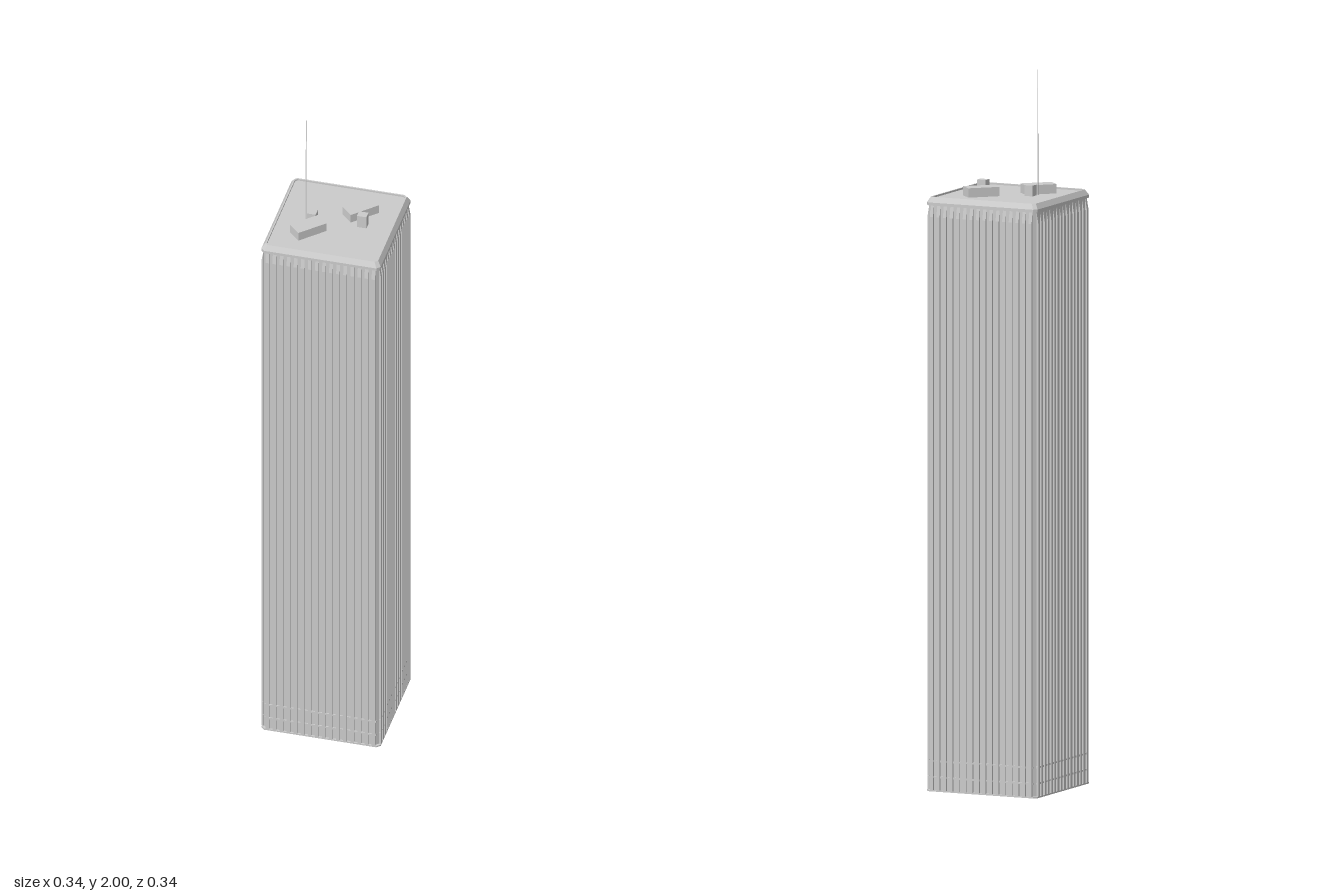
import * as THREE from 'three';

const grey = new THREE.MeshStandardMaterial({ color: 0xcccccc, flatShading: true });

function add(parent, name, geometry, x = 0, y = 0, z = 0, turn = 0) {
  const mesh = new THREE.Mesh(geometry, grey);
  mesh.name = name;
  mesh.position.set(x, y, z);
  mesh.rotation.y = turn;
  parent.add(mesh);
  return mesh;
}

// Square with cut corners, half width h and cut c
function square(h, c) {
  return [[h, h - c], [h - c, h], [c - h, h], [-h, h - c], [-h, c - h], [c - h, -h], [h - c, -h], [h, c - h]];
}

// Skin through a stack of [y, half width, corner cut] sections, closed at both ends
function loft(sections) {
  const pos = [], idx = [];
  for (const [y, h, c] of sections) for (const [x, z] of square(h, c)) pos.push(x, y, z);
  for (let s = 0; s < sections.length - 1; s++) {
    for (let i = 0; i < 8; i++) {
      const a = s * 8 + i, b = s * 8 + (i + 1) % 8;
      idx.push(a, a + 8, b, b, a + 8, b + 8);
    }
  }
  const top = (sections.length - 1) * 8;
  for (let i = 1; i < 7; i++) {
    idx.push(0, i, i + 1);
    idx.push(top, top + i + 1, top + i);
  }
  const g = new THREE.BufferGeometry();
  g.setAttribute('position', new THREE.Float32BufferAttribute(pos, 3));
  g.setIndex(idx);
  g.computeVertexNormals();
  return g;
}

export function createModel() {
  const tower = new THREE.Group();
  tower.name = 'tower';

  // Shaft, bevelled crown, low parapet and sunken roof in one skin
  add(tower, 'shaft', loft([
    [0, 0.17, 0.01], [0.004, 0.17, 0.01], [0.004, 0.165, 0.01],
    [1.632, 0.165, 0.01], [1.632, 0.17, 0.01], [1.64, 0.17, 0.01],
    [1.655, 0.161, 0.008], [1.655, 0.157, 0.006], [1.65, 0.157, 0.006],
  ]));

  // Vertical ribs and lobby bands on each of the four walls
  const ribs = 16, pitch = 0.0202;
  const profile = new THREE.Shape([
    [0, 0.004], [0.0055, 0.004], [0.0055, 1.6], [0, 1.632],
  ].map(([x, y]) => new THREE.Vector2(x, y)));
  const ribGeometry = new THREE.ExtrudeGeometry(profile, { depth: 0.01, bevelEnabled: false });
  ribGeometry.translate(0, 0, -0.005);
  for (let side = 0; side < 4; side++) {
    const wall = new THREE.Group();
    wall.name = 'wall';
    wall.rotation.y = side * Math.PI / 2;
    for (let i = 0; i < ribs; i++) {
      add(wall, 'rib', ribGeometry, 0.1648, 0, (i - (ribs - 1) / 2) * pitch);
    }
    for (const y of [0.04, 0.085]) {
      add(wall, 'lobbyBand', new THREE.BoxGeometry(0.004, 0.005, 0.318), 0.1665, y, 0);
    }
    tower.add(wall);
  }

  // Roof plant
  for (const [x, z] of [[0.056, -0.053], [-0.062, 0.065]]) {
    add(tower, 'plantRoom', new THREE.BoxGeometry(0.09, 0.026, 0.046), x, 1.663, z, Math.PI / 4);
  }
  add(tower, 'liftHousing', new THREE.BoxGeometry(0.027, 0.038, 0.022), 0.076, 1.669, -0.001);
  add(tower, 'liftHousing', new THREE.BoxGeometry(0.025, 0.03, 0.026), -0.064, 1.665, 0.011);

  // Slim mast
  add(tower, 'mast', new THREE.CylinderGeometry(0.0006, 0.0015, 0.35, 6), -0.078, 1.825, 0.028);
  return tower;
}
